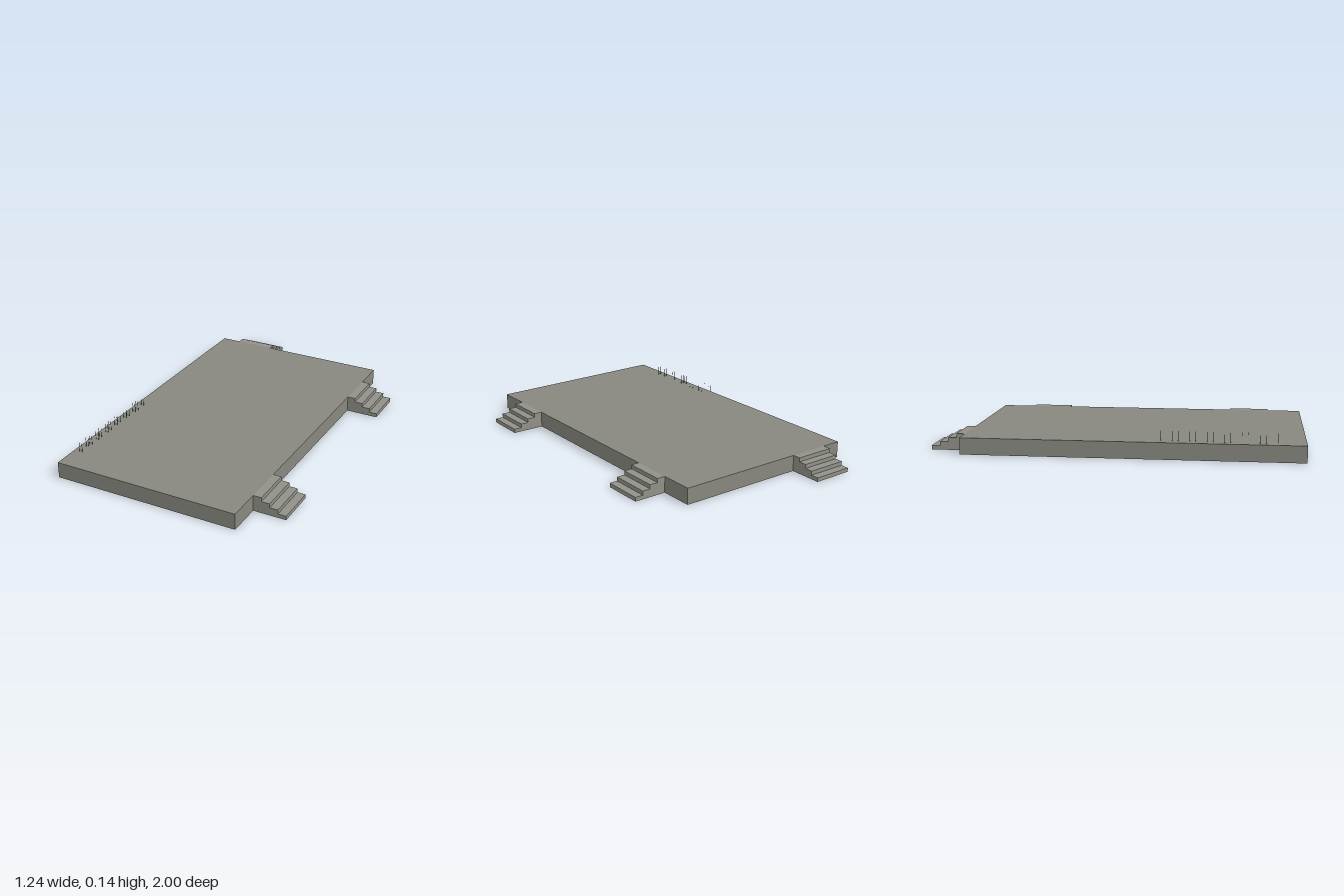
import * as THREE from 'three';

const paint = (color) => new THREE.MeshStandardMaterial({ color, flatShading: true });
const deckMaterial = paint(0x888880);
const stairMaterial = paint(0x919189);
const postMaterial = paint(0x55554f);

const H = 0.09;          // deck height
const STEPS = 4;
const RUN = 0.184;       // total stair depth
const WIDTH = 0.226;     // stair width
const SIDE = 0.436;      // left edge of the deck
const BACK = -0.816;     // back edge of the deck

function addBox(parent, name, material, x0, x1, y0, y1, z0, z1) {
  const mesh = new THREE.Mesh(new THREE.BoxGeometry(x1 - x0, y1 - y0, z1 - z0), material);
  mesh.position.set((x0 + x1) / 2, (y0 + y1) / 2, (z0 + z1) / 2);
  mesh.name = name;
  parent.add(mesh);
}

// Solid flight of steps: descends along +x from x = 0, centred on z = 0
function makeStairs(name) {
  const s = new THREE.Shape();
  s.moveTo(0, 0);
  s.lineTo(RUN, 0);
  for (let i = 0; i < STEPS; i++) {
    const y = (H * (i + 1)) / STEPS;
    s.lineTo(RUN * (1 - i / STEPS), y);
    s.lineTo(RUN * (1 - (i + 1) / STEPS), y);
  }
  s.closePath();
  const geometry = new THREE.ExtrudeGeometry(s, { depth: WIDTH, bevelEnabled: false });
  geometry.translate(0, 0, -WIDTH / 2);
  const mesh = new THREE.Mesh(geometry, stairMaterial);
  mesh.name = name;
  return mesh;
}

export function createModel() {
  const model = new THREE.Group();
  model.name = 'platform';

  // Raised deck
  addBox(model, 'deck', deckMaterial, -0.62, SIDE, 0, H, BACK, 1);

  // Two flights on the left side, one at the back
  const frontStairs = makeStairs('frontSideStairs');
  frontStairs.position.set(SIDE, 0, 0.697);
  const rearStairs = makeStairs('rearSideStairs');
  rearStairs.position.set(SIDE, 0, -0.516);
  const backStairs = makeStairs('backStairs');
  backStairs.rotation.y = Math.PI / 2;
  backStairs.position.set(-0.397, 0, BACK);
  model.add(frontStairs, rearStairs, backStairs);

  // Seven sets of four thin posts along the right edge
  const posts = new THREE.Group();
  posts.name = 'posts';
  const r = 0.0007;
  for (let i = 0; i < 7; i++) {
    for (const offset of [0.85, 0.79]) {
      const z = offset - i * 0.0905;
      for (const x of [-0.587, -0.57]) {
        addBox(posts, 'post', postMaterial, x - r, x + r, H, 0.143, z - r, z + r);
      }
    }
  }
  model.add(posts);

  return model;
}
